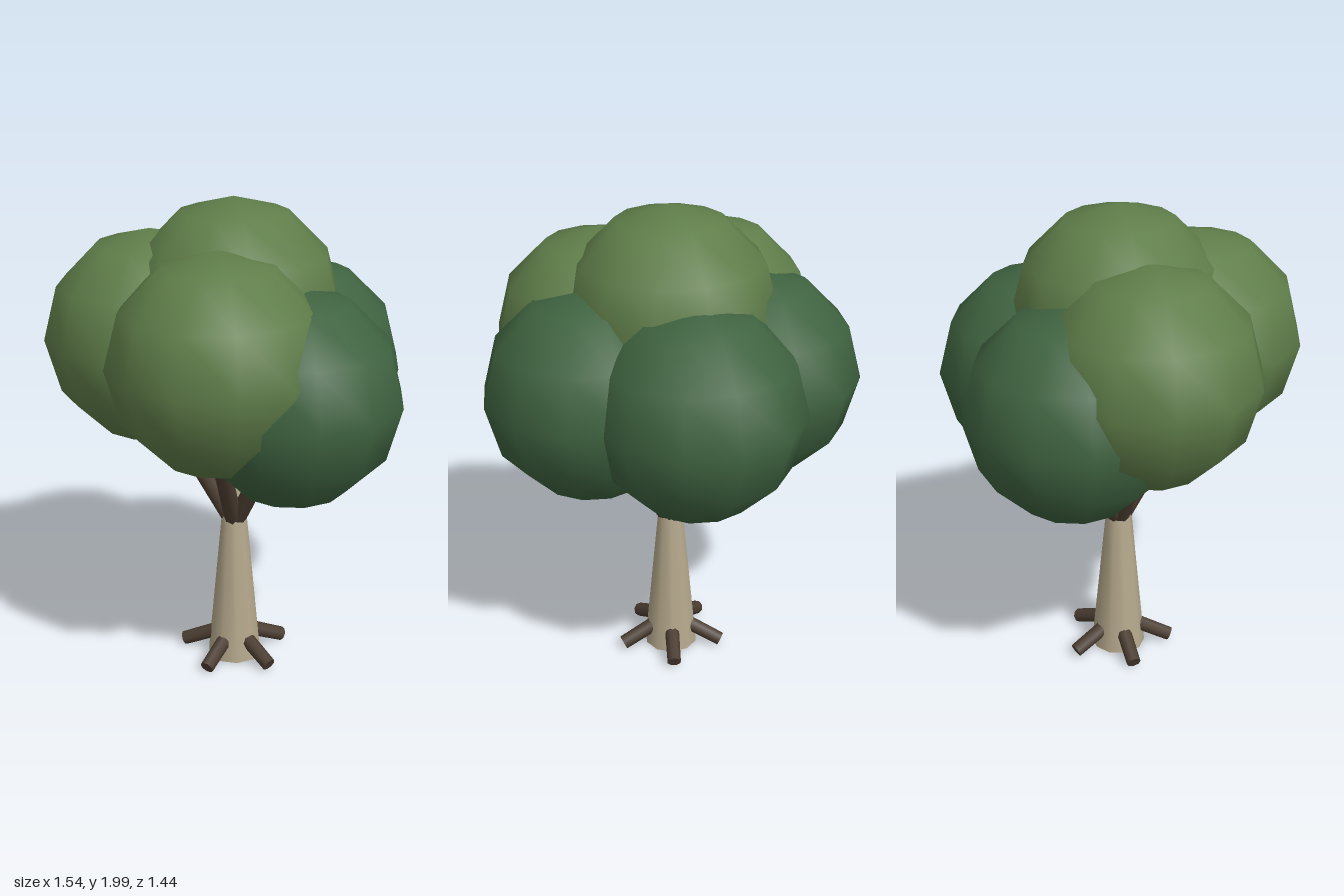
import * as THREE from 'three';

const material = (color) => new THREE.MeshStandardMaterial({ color });
const UP = new THREE.Vector3(0, 1, 0);

// Tapered round limb between two points
function limb(name, from, to, r0, r1, mat) {
  const dir = to.clone().sub(from);
  const mesh = new THREE.Mesh(new THREE.CylinderGeometry(r1, r0, dir.length(), 8), mat);
  mesh.name = name;
  mesh.position.copy(from).lerp(to, 0.5);
  mesh.quaternion.setFromUnitVectors(UP, dir.normalize());
  return mesh;
}

export function createModel() {
  const tree = new THREE.Group();
  tree.name = 'tree';
  const bark = material(0xb5a88c);
  const darkBark = material(0x4b3d31);
  const lightLeaf = material(0x5f7d49);
  const darkLeaf = material(0x3f6340);
  const cz = 0.035; // trunk axis

  // Point at an angle and distance from the trunk axis
  const around = (deg, r, y) => {
    const a = THREE.MathUtils.degToRad(deg);
    return new THREE.Vector3(Math.cos(a) * r, y, cz + Math.sin(a) * r);
  };

  // Trunk, tapering to a point within the crown
  const profile = [[0, 0.01], [0.115, 0.01], [0.115, 0.01], [0.055, 0.65], [0.03, 0.88], [0.004, 1.1]]
    .map(([r, y]) => new THREE.Vector2(r, y));
  const base = new THREE.Mesh(new THREE.CircleGeometry(0.115, 10), bark);
  base.name = 'trunkBase';
  base.rotation.x = Math.PI / 2;
  base.position.set(0, 0.01, cz);
  const trunk = new THREE.Mesh(new THREE.LatheGeometry(profile.slice(2), 10), bark);
  trunk.name = 'trunk';
  trunk.position.z = cz;
  trunk.rotation.y = Math.PI / 2;
  tree.add(trunk, base);

  // Five stubby roots
  for (let i = 0; i < 5; i++) {
    tree.add(limb('root', around(i * 72, 0.07, 0.105), around(i * 72, 0.225, 0.037), 0.032, 0.03, darkBark));
  }

  // Branches, one towards each lower leaf ball
  for (const deg of [0, 55, 140, 191, 273]) {
    tree.add(limb('branch', around(deg, 0.02, 0.66), around(deg, 0.28, 1.1), 0.038, 0.034, darkBark));
  }

  // Leaf balls
  const ball = new THREE.SphereGeometry(0.43, 12, 6);
  const balls = [
    ['topLeaves', 0, 1.57, 0.035, lightLeaf],
    ['frontLeftLeaves', 0.205, 1.435, 0.285, lightLeaf],
    ['frontRightLeaves', -0.255, 1.435, 0.245, lightLeaf],
    ['leftLeaves', 0.34, 1.285, 0.03, darkLeaf],
    ['rightLeaves', -0.34, 1.285, -0.03, darkLeaf],
    ['backLeaves', 0.02, 1.285, -0.29, darkLeaf],
  ];
  for (const [name, x, y, z, mat] of balls) {
    const mesh = new THREE.Mesh(ball, mat);
    mesh.name = name;
    mesh.position.set(x, y, z);
    tree.add(mesh);
  }
  return tree;
}
